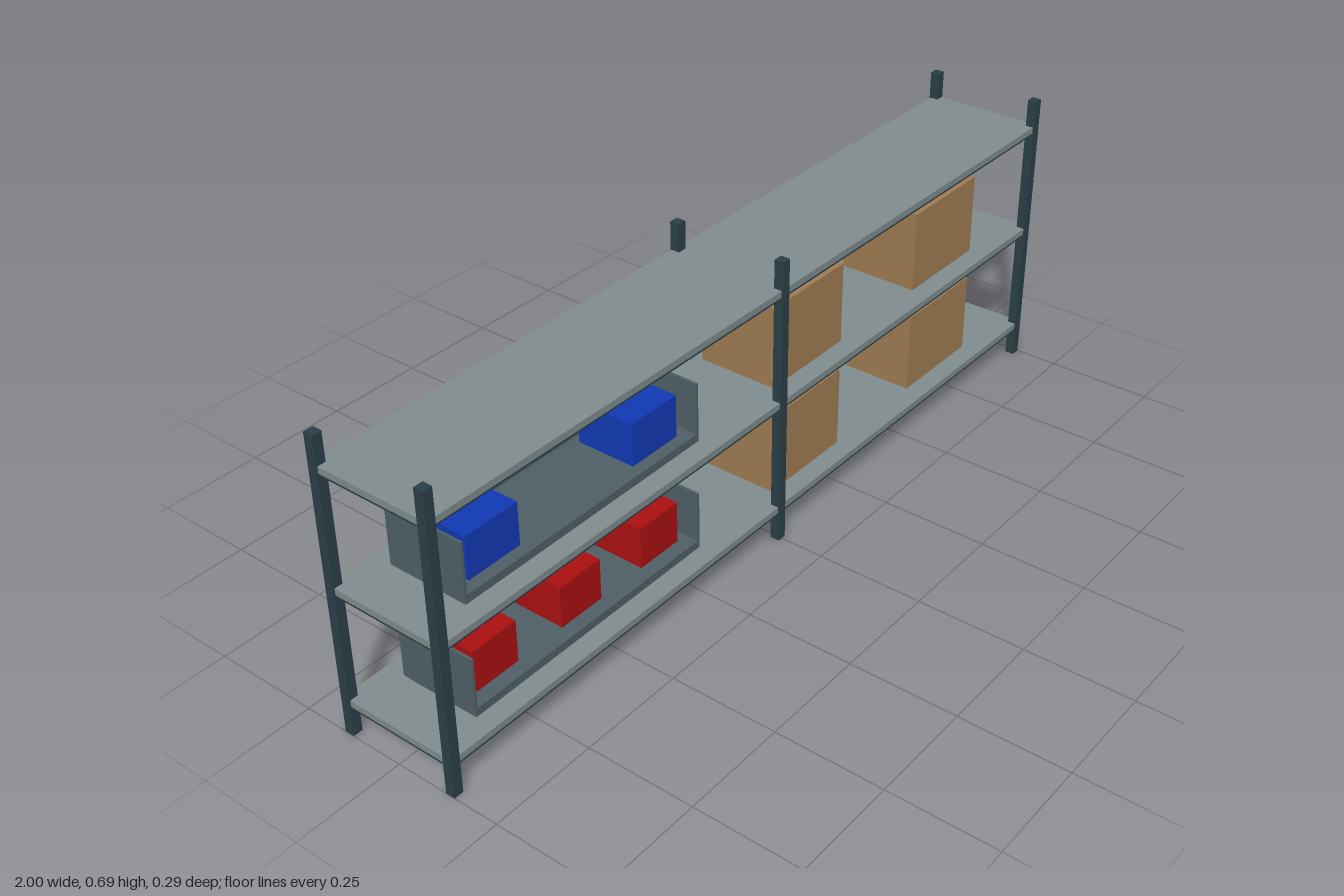
import * as THREE from 'three';

const mat = (name, color) => {
  const m = new THREE.MeshStandardMaterial({ color });
  m.name = name;
  return m;
};

export function createModel() {
  const steel = mat('dark steel', 0x2b3f48);
  const deck = mat('grey deck', 0x7f8c8d);
  const binGrey = mat('bin grey', 0x4f5f66);
  const card = mat('cardboard', 0x9f7b52);
  const blue = mat('blue', 0x1039b4);
  const red = mat('red', 0xab1010);

  const rack = new THREE.Group();
  rack.name = 'storageRack';

  // Box given by its extents along each axis
  const block = (parent, name, material, x0, x1, y0, y1, z0, z1) => {
    const mesh = new THREE.Mesh(new THREE.BoxGeometry(x1 - x0, y1 - y0, z1 - z0), material);
    mesh.position.set((x0 + x1) / 2, (y0 + y1) / 2, (z0 + z1) / 2);
    mesh.name = name;
    parent.add(mesh);
  };

  // Uprights: three pairs, front and back
  for (const x of [-0.989, 0, 0.989])
    for (const z of [-0.134, 0.134])
      block(rack, 'post', steel, x - 0.011, x + 0.011, 0, 0.685, z - 0.011, z + 0.011);

  // Shelves with a dark sheet underneath
  const shelfTops = [0.087, 0.353, 0.62];
  for (const y of shelfTops) {
    block(rack, 'shelf', deck, -0.997, 0.997, y - 0.015, y, -0.142, 0.142);
    block(rack, 'shelfUnderside', steel, -0.997, 0.997, y - 0.019, y - 0.015, -0.142, 0.142);
  }

  // Open-fronted bin holding a row of coloured cubes
  const addBin = (y, material, centres, half, height, depth) => {
    const bin = new THREE.Group();
    bin.name = 'bin';
    const [x0, x1, z, t] = [-0.885, -0.223, 0.096, 0.006];
    block(bin, 'binFloor', binGrey, x0, x1, y, y + 0.019, -z, z);
    block(bin, 'binBack', binGrey, x0, x1, y + 0.019, y + 0.137, -z, -z + t);
    block(bin, 'binSide', binGrey, x0, x0 + t, y + 0.019, y + 0.137, -z + t, z);
    block(bin, 'binSide', binGrey, x1 - t, x1, y + 0.019, y + 0.137, -z + t, z);
    for (const x of centres)
      block(bin, 'smallBox', material, x - half, x + half, y + 0.02, y + 0.02 + height, -depth, depth);
    rack.add(bin);
  };
  addBin(shelfTops[0], red, [-0.794, -0.554, -0.314], 0.058, 0.098, 0.064);
  addBin(shelfTops[1], blue, [-0.782, -0.328], 0.067, 0.098, 0.07);

  // Cardboard boxes on the lower two shelves
  for (const y of shelfTops.slice(0, 2))
    for (const x of [0.151, 0.682])
      block(rack, 'cardboardBox', card, x - 0.123, x + 0.123, y, y + 0.192, -0.096, 0.096);

  return rack;
}
